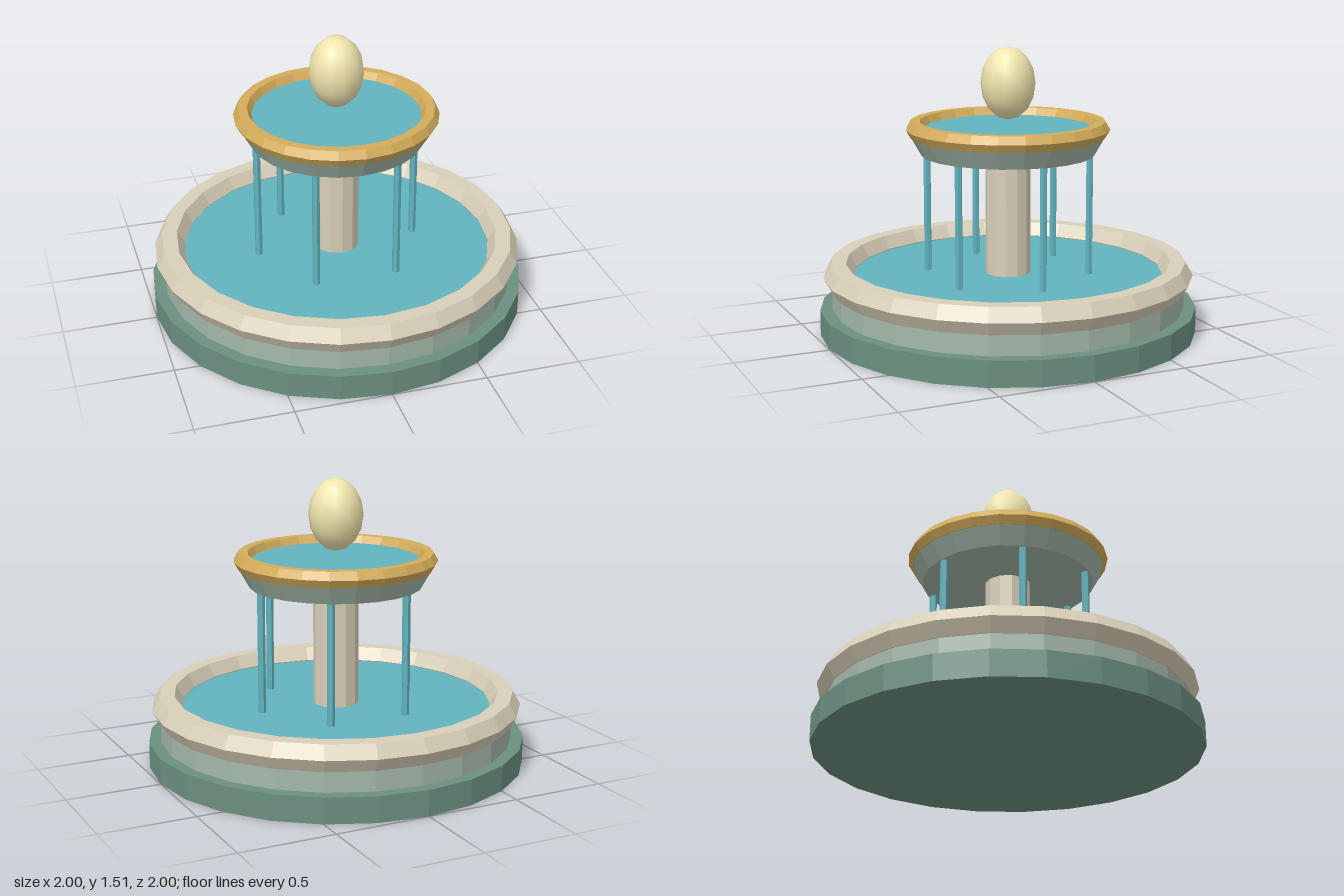
import * as THREE from 'three';

const SIDES = 24;
const material = (color, flatShading = true) => {
  const m = new THREE.MeshStandardMaterial({ color });
  m.flatShading = flatShading;
  return m;
};
const plinthGreen = material(0x6b9080);
const paleGreen = material(0xa4b8aa);
const stone = material(0xd8cfb8);
const gold = material(0xd4ac5a);
const water = material(0x62b4be);
const cream = material(0xf0e4ad, false);

export function createModel() {
  const group = new THREE.Group();

  const add = (name, geometry, mat, y = 0) => {
    const mesh = new THREE.Mesh(geometry, mat);
    mesh.name = name;
    mesh.position.y = y;
    group.add(mesh);
    return mesh;
  };

  // Upright drum between two heights
  const drum = (name, rBottom, rTop, y0, y1, mat, sides = SIDES) =>
    add(name, new THREE.CylinderGeometry(rTop, rBottom, y1 - y0, sides), mat, (y0 + y1) / 2);

  // Rim with a hexagonal section
  const rim = (name, radius, tube, y, mat) =>
    add(name, new THREE.TorusGeometry(radius, tube, 6, SIDES).rotateX(-Math.PI / 2), mat, y);

  // Lower pool
  drum('plinth', 1, 1, 0, 0.135, plinthGreen);
  drum('lowerBasin', 0.935, 0.935, 0.135, 0.27, paleGreen);
  rim('lowerRim', 0.9, 0.08, 0.31, stone);
  drum('lowerWater', 0.85, 0.85, 0.27, 0.305, water);

  // Upper bowl on its column
  drum('column', 0.12, 0.12, 0.29, 0.96, stone, 12);
  drum('upperBowl', 0.455, 0.52, 0.945, 1.06, paleGreen);
  rim('upperRim', 0.487, 0.048, 1.08, gold);
  drum('upperWater', 0.46, 0.46, 1.05, 1.083, water);

  // Ring of falling water jets
  for (let i = 0; i < 6; i++) {
    const a = (i * Math.PI) / 3;
    const jet = drum('waterJet' + (i + 1), 0.02, 0.02, 0.29, 0.96, water, 6);
    jet.position.x = 0.43 * Math.cos(a);
    jet.position.z = 0.43 * Math.sin(a);
  }

  // Egg-shaped finial hovering above the bowl
  add('finial', new THREE.SphereGeometry(1, 12, 8).scale(0.144, 0.192, 0.144), cream, 1.318);

  return group;
}
